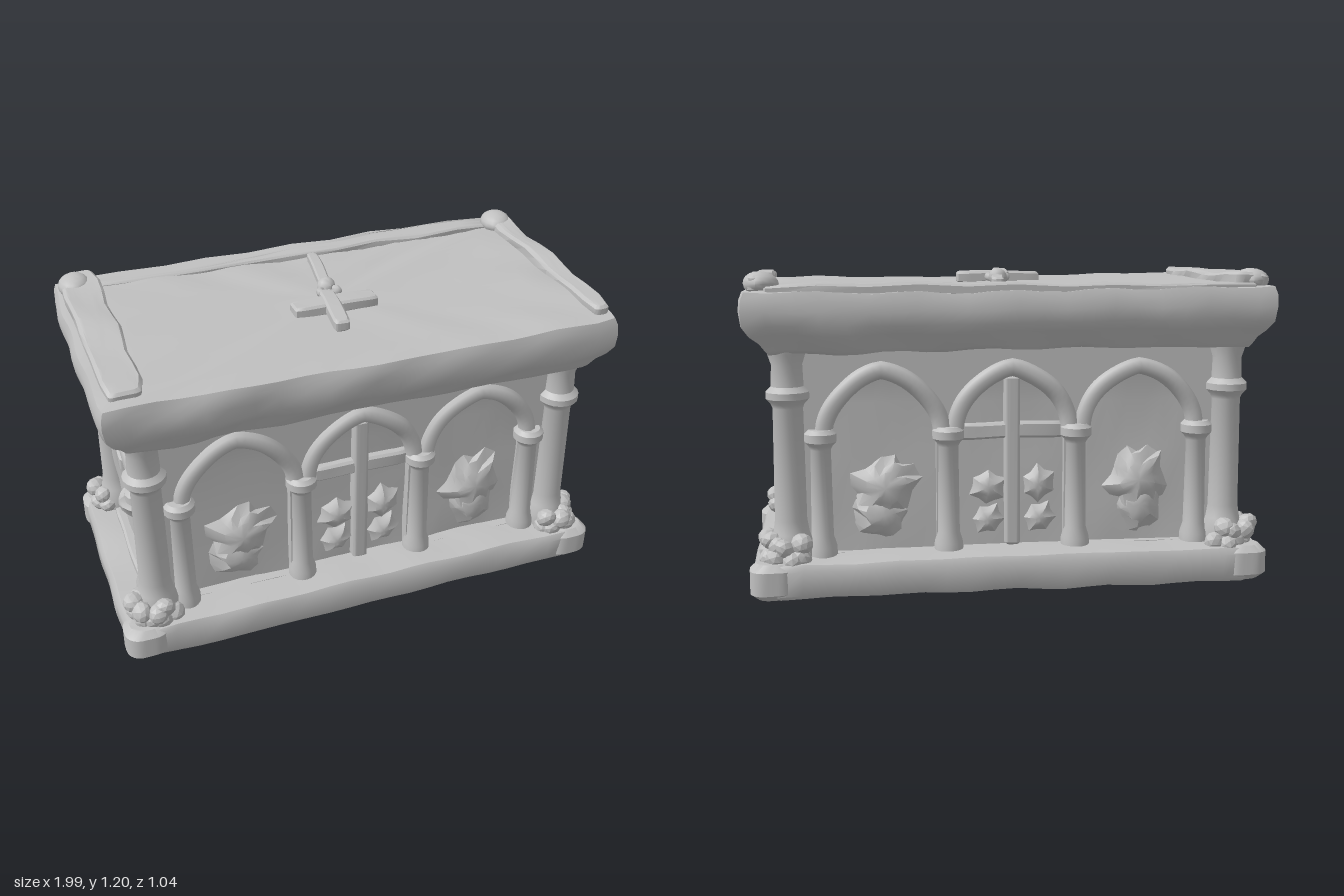
import * as THREE from 'three';
import { toCreasedNormals } from 'three/addons/utils/BufferGeometryUtils.js';

const stone = new THREE.MeshStandardMaterial({ color: 0xc0c0c0, side: THREE.DoubleSide });
stone.name = 'weathered stone';

// Position-based wobble, so neighbouring vertices stay joined
const wob = (x, y, z) =>
  Math.sin(9 * x + 3 * z + 1) * 0.5 + Math.sin(17 * z - 11 * y + 2) * 0.3 + Math.sin(23 * x + 14 * y - 19 * z) * 0.35;

function weather(geo, amp, crease = 0.7) {
  const p = geo.attributes.position;
  for (let i = 0; i < p.count; i++) {
    const x = p.getX(i), y = p.getY(i), z = p.getZ(i);
    p.setXYZ(i, x + amp * wob(x, y, z), y + amp * wob(y + 2, z, x), z + amp * wob(z, x + 4, y));
  }
  return toCreasedNormals(geo, crease);
}

function add(parent, name, geo, x = 0, y = 0, z = 0) {
  const m = new THREE.Mesh(geo, stone);
  m.name = name;
  m.position.set(x, y, z);
  parent.add(m);
  return m;
}

// Rounded rectangular rings [halfX, halfZ, y] joined from bottom to top, capped at both ends
function loft(rings, radius, amp, n = 22) {
  const first = rings[0], last = rings[rings.length - 1];
  const cap = (r, s) => [r[0] * s, r[1] * s, r[2]];
  const all = [...[0.001, 0.3, 0.6, 0.85].map(s => cap(first, s)), ...rings,
    ...[0.85, 0.6, 0.3, 0.001].map(s => cap(last, s))];
  const pos = [], idx = [], count = 4 * n;
  for (const [hx, hz, y] of all) {
    const r = Math.min(radius, hx, hz);
    for (let i = 0; i < count; i++) {
      const side = Math.floor(i / n), t = ((i % n) / n) * 2 - 1;
      const [u, v] = [[t, 1], [1, -t], [-t, -1], [-1, t]][side];
      const x = u * hx, z = v * hz;
      const cx = THREE.MathUtils.clamp(x, r - hx, hx - r), cz = THREE.MathUtils.clamp(z, r - hz, hz - r);
      const d = Math.hypot(x - cx, z - cz) || 1;
      pos.push(cx + (x - cx) / d * r, y, cz + (z - cz) / d * r);
    }
  }
  for (let j = 0; j < all.length - 1; j++) for (let i = 0; i < count; i++) {
    const a = j * count + i, b = j * count + (i + 1) % count;
    idx.push(a, b, b + count, a, b + count, a + count);
  }
  const g = new THREE.BufferGeometry();
  g.setAttribute('position', new THREE.Float32BufferAttribute(pos, 3));
  g.setIndex(idx);
  return weather(g, amp);
}

function slab(w, h, d, amp = 0.004, radius = 0.012) {
  const b = Math.min(w, h, d) * 0.18;
  return loft([[w / 2 - b, d / 2 - b, -h / 2], [w / 2, d / 2, -h / 2 + b],
    [w / 2, d / 2, h / 2 - b], [w / 2 - b, d / 2 - b, h / 2]], radius, amp, 10);
}

const turned = pts => toCreasedNormals(
  new THREE.LatheGeometry(pts.map(p => new THREE.Vector2(p[0], p[1])), 18), 0.7);

const tube = (pts, r, seg = 28) => weather(new THREE.TubeGeometry(
  new THREE.CatmullRomCurve3(pts.map(p => new THREE.Vector3(...p))), seg, r, 8), 0.005, 1);

// Shallow jagged leaf cluster facing +z
function leafRelief(r, depth, points) {
  const g = new THREE.ConeGeometry(1, depth, points * 2, 4, true);
  const p = g.attributes.position;
  for (let i = 0; i < p.count; i++) {
    const k = Math.round(Math.atan2(p.getZ(i), p.getX(i)) / Math.PI * points);
    const s = r * (k % 2 ? 0.76 : 1 + 0.12 * Math.sin(k * 2.3));
    const bulge = 0.35 * depth * Math.sin(Math.PI * Math.hypot(p.getX(i), p.getZ(i)));
    p.setXYZ(i, p.getX(i) * s, p.getY(i) + bulge, p.getZ(i) * s);
  }
  g.rotateX(Math.PI / 2);
  return weather(g, 0.011, 0.5);
}

const smallColumn = turned([[0.056, 0.13], [0.054, 0.17], [0.042, 0.21], [0.038, 0.54], [0.046, 0.555],
  [0.06, 0.57], [0.06, 0.6], [0.045, 0.615], [0, 0.615]]);

// Pointed round arch outline, half width w, apex height top
const archPoints = (cx, w, top) => new THREE.CubicBezierCurve(
  new THREE.Vector2(-w, 0.59), new THREE.Vector2(-w, 0.72),
  new THREE.Vector2(-0.09, top - 0.015), new THREE.Vector2(0, top)).getPoints(9)
  .flatMap((p, i, a) => i < 9 ? [p] : [p, ...a.slice(0, 9).reverse().map(q => new THREE.Vector2(-q.x, q.y))])
  .map(p => new THREE.Vector2(p.x + cx, p.y));

// Long side: pierced wall, columns, arch mouldings and carvings
function arcade() {
  const g = new THREE.Group();
  const wall = new THREE.Shape([[-0.83, 0.12], [0.83, 0.12], [0.83, 0.93], [-0.83, 0.93]].map(p => new THREE.Vector2(...p)));
  for (const cx of [-0.49, 0, 0.49]) {
    const pts = archPoints(cx, 0.2, 0.805);
    wall.holes.push(new THREE.Path([new THREE.Vector2(cx - 0.2, 0.14), ...pts, new THREE.Vector2(cx + 0.2, 0.14)]));
    add(g, 'archMoulding', tube(archPoints(cx, 0.222, 0.832).map(p => [p.x, p.y, 0.36]), 0.035));
  }
  add(g, 'arcadeWall', toCreasedNormals(
    new THREE.ExtrudeGeometry(wall, { depth: 0.055, bevelEnabled: false }), 0.6), 0, 0, 0.31);
  for (const x of [-0.72, -0.245, 0.245, 0.72]) add(g, 'arcadeColumn', smallColumn, x, 0, 0.365);
  // Cross in the middle bay
  add(g, 'crossPost', slab(0.06, 0.66, 0.06), 0, 0.47, 0.335);
  add(g, 'crossBar', slab(0.4, 0.06, 0.05), 0, 0.59, 0.335);
  for (const s of [-1, 1]) {
    add(g, 'leafCarving', leafRelief(0.14, 0.055, 9), s * 0.49, 0.38, 0.35).rotation.z = s * 0.3;
    add(g, 'lowerLeafCarving', leafRelief(0.11, 0.05, 7), s * 0.5, 0.28, 0.345).rotation.z = s * 0.9;
    add(g, 'smallLeafCarving', leafRelief(0.085, 0.045, 6), s * 0.1, 0.37, 0.335).rotation.z = s * 0.6;
    add(g, 'smallLeafCarving', leafRelief(0.075, 0.04, 6), s * 0.1, 0.24, 0.335);
  }
  return g;
}

// Short side: broken arch with one column and worn carvings, facing +x
function endPanel() {
  const g = new THREE.Group();
  add(g, 'brokenArch', tube([[0.835, 0.59, -0.23], [0.84, 0.67, -0.2], [0.845, 0.725, -0.15], [0.845, 0.75, -0.06],
    [0.845, 0.72, 0.02], [0.845, 0.66, 0.065], [0.845, 0.56, 0.07], [0.835, 0.47, 0.055]], 0.034));
  add(g, 'endColumn', smallColumn, 0.835, 0, -0.24);
  add(g, 'wornBlock', slab(0.05, 0.06, 0.1, 0.008), 0.84, 0.6, -0.01);
  const leaf = add(g, 'wornCarving', leafRelief(0.08, 0.05, 6), 0.85, 0.36, 0.04);
  leaf.rotation.y = Math.PI / 2;
  add(g, 'endSill', slab(0.05, 0.05, 0.56), 0.845, 0.14, 0);
  return g;
}

export function createModel() {
  const model = new THREE.Group();

  // Plinth
  add(model, 'plinth', loft([[0.962, 0.493, 0.006], [0.973, 0.502, 0.02], [0.973, 0.502, 0.11],
    [0.958, 0.488, 0.133], [0.88, 0.42, 0.14]], 0.09, 0.007));

  // Chest body
  add(model, 'body', loft([[0.83, 0.33, 0.12], [0.832, 0.33, 0.3], [0.835, 0.33, 0.5], [0.832, 0.33, 0.7],
    [0.84, 0.34, 0.85], [0.87, 0.37, 0.93]], 0.02, 0.009));

  for (const turn of [0, Math.PI]) {
    const side = arcade(), end = endPanel();
    side.name = turn ? 'backArcade' : 'frontArcade';
    end.name = turn ? 'rightEnd' : 'leftEnd';
    side.rotation.y = end.rotation.y = turn;
    model.add(side, end);
  }

  // Corner columns, foliage at their feet and rounded plinth corners
  const column = turned([[0.08, 0.13], [0.085, 0.19], [0.068, 0.23], [0.06, 0.28], [0.056, 0.7], [0.062, 0.715],
    [0.08, 0.735], [0.08, 0.76], [0.06, 0.78], [0.057, 0.86], [0.07, 0.9], [0.075, 0.93]]);
  const corner = slab(0.17, 0.132, 0.15, 0.003, 0.06);
  const clump = weather(new THREE.IcosahedronGeometry(0.036, 1), 0.016, 0.3);
  for (const sx of [-1, 1]) for (const sz of [-1, 1]) {
    add(model, 'cornerColumn', column, sx * 0.835, 0, sz * 0.365);
    add(model, 'plinthCorner', corner, sx * 0.9, 0.069, sz * 0.434);
    for (let i = 0; i < 11; i++) {
      const a = -0.65 + i * 0.29;
      const m = add(model, 'cornerFoliage', clump, sx * (0.84 + 0.078 * Math.cos(a)),
        0.155 + 0.04 * (i % 2), sz * (0.375 + 0.075 * Math.sin(a)));
      m.rotation.set(i * 1.3, i * 2.1, i);
    }
  }

  // Lid with flared cornice
  add(model, 'lid', loft([[0.9, 0.435, 0.905], [0.91, 0.45, 0.92], [0.928, 0.467, 0.95], [0.955, 0.493, 0.978],
    [0.978, 0.51, 1.01], [0.987, 0.513, 1.06], [0.985, 0.51, 1.1], [0.975, 0.5, 1.128], [0.9, 0.45, 1.137]],
    0.02, 0.01));

  // Raised edges of the lid, climbing slightly towards the back
  add(model, 'rightLidEdge', slab(0.14, 0.06, 0.95, 0.011, 0.03), -0.885, 1.142, -0.01).rotation.x = 0.015;
  add(model, 'leftLidEdge', slab(0.08, 0.06, 0.95, 0.011, 0.03), 0.925, 1.142, -0.01).rotation.x = 0.015;
  add(model, 'backLidEdge', slab(1.8, 0.04, 0.1, 0.008, 0.03), 0, 1.132, -0.45);
  const knob = weather(new THREE.SphereGeometry(0.07, 14, 10).scale(0.85, 0.6, 1), 0.008);
  for (const s of [-1, 1]) add(model, 'lidCornerKnob', knob, s * 0.91, 1.153, -0.42);

  // Cross with its cord lying on the lid
  const pendant = new THREE.Group();
  pendant.name = 'lidCross';
  add(pendant, 'pendantBar', slab(0.33, 0.045, 0.08), -0.005, 1.15, 0.065);
  add(pendant, 'pendantPost', slab(0.06, 0.045, 0.27), -0.025, 1.155, 0.12).rotation.y = -0.1;
  const ring = add(pendant, 'pendantRing', new THREE.TorusGeometry(0.035, 0.016, 8, 18), 0.01, 1.155, -0.03);
  ring.rotation.x = Math.PI / 2 - 0.15;
  add(pendant, 'pendantKnot', weather(new THREE.SphereGeometry(0.035, 10, 8), 0.006), 0.01, 1.152, -0.08);
  add(pendant, 'pendantCord', slab(0.045, 0.035, 0.27), 0.035, 1.15, -0.23).rotation.y = -0.13;
  model.add(pendant);

  return model;
}
